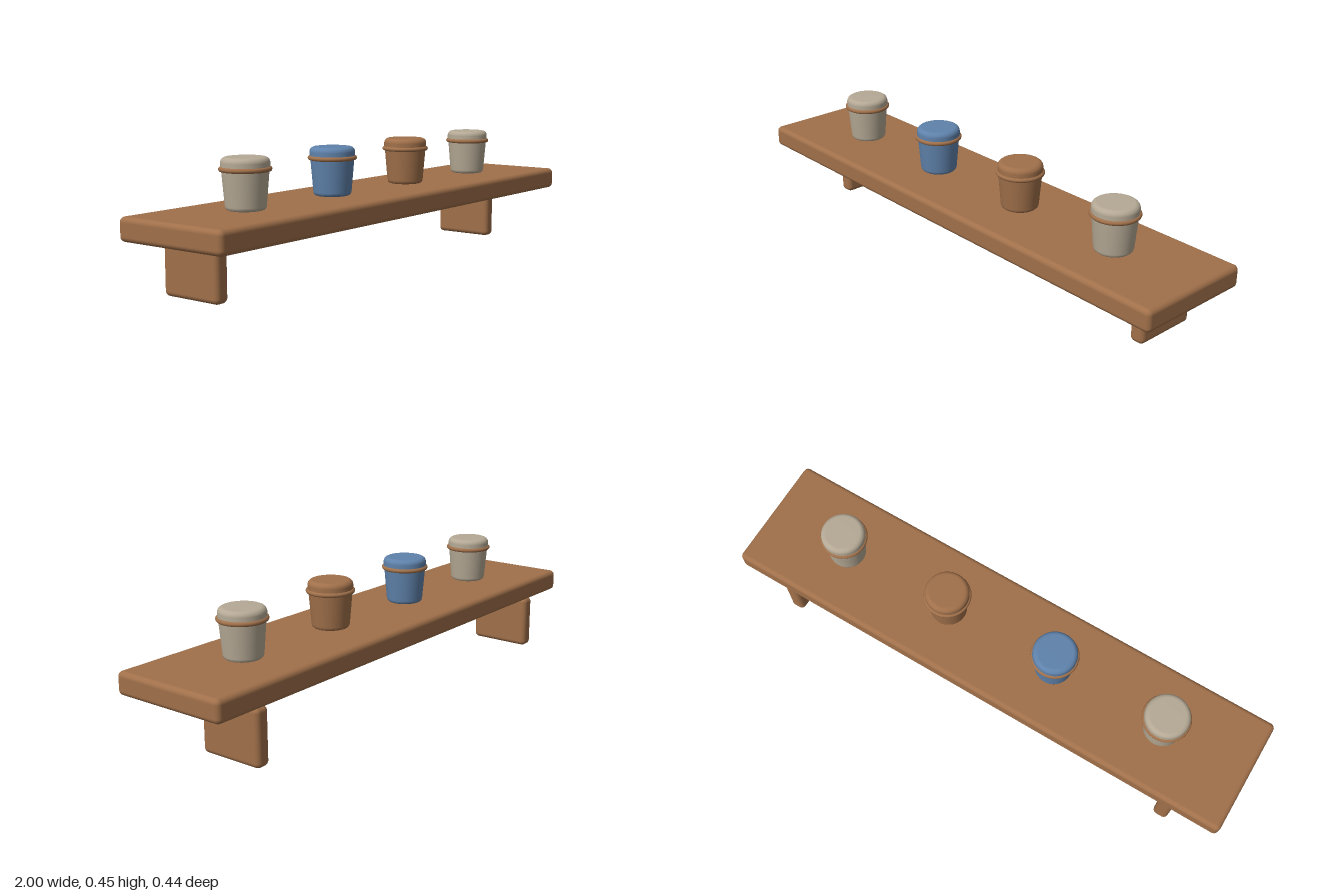
import * as THREE from 'three';
import { RoundedBoxGeometry } from 'three/addons/geometries/RoundedBoxGeometry.js';

const material = (name, color) => {
  const m = new THREE.MeshStandardMaterial({ color });
  m.name = name;
  return m;
};

const lathe = (points) =>
  new THREE.LatheGeometry(points.map(([r, y]) => new THREE.Vector2(r, y)), 40);

export function createModel() {
  const wood = material('wood', 0xa0704a);
  const stone = material('stone', 0xb5a995);
  const blue = material('blue glaze', 0x5f82ab);

  const root = new THREE.Group();
  root.name = 'shelfWithJars';
  const add = (parent, name, geometry, mat, x = 0, y = 0, z = 0) => {
    const mesh = new THREE.Mesh(geometry, mat);
    mesh.name = name;
    mesh.position.set(x, y, z);
    parent.add(mesh);
    return mesh;
  };

  // Plank and its two supports, set towards the back
  add(root, 'plank', new RoundedBoxGeometry(2, 0.08, 0.44, 4, 0.018), wood, 0, 0.24, 0);
  const bracket = new RoundedBoxGeometry(0.056, 0.2, 0.24, 4, 0.018);
  add(root, 'rightBracket', bracket, wood, -0.8, 0.1, -0.09);
  add(root, 'leftBracket', bracket, wood, 0.8, 0.1, -0.09);

  // Tapered jar body with a softened foot
  const body = lathe([
    [0, 0], [0.055, 0], [0.061, 0.002], [0.065, 0.006], [0.067, 0.013],
    [0.0765, 0.125], [0.0765, 0.133], [0, 0.133],
  ]);
  // Lid with a rounded shoulder
  const lidProfile = [[0, 0.13], [0.0795, 0.13], [0.0795, 0.132]];
  for (let i = 0; i <= 6; i++) {
    const a = (i / 6) * Math.PI / 2;
    lidProfile.push([0.0615 + 0.018 * Math.cos(a), 0.153 + 0.018 * Math.sin(a)]);
  }
  lidProfile.push([0, 0.171]);
  const lid = lathe(lidProfile);
  // Band around the neck
  const band = new THREE.TorusGeometry(0.078, 0.008, 12, 40).rotateX(Math.PI / 2);

  [stone, blue, wood, stone].forEach((mat, i) => {
    const jar = new THREE.Group();
    jar.name = `jar${i + 1}`;
    jar.position.set(-0.66 + i * 0.44, 0.28, 0);
    add(jar, 'jarBody', body, mat);
    add(jar, 'jarLid', lid, mat);
    add(jar, 'jarBand', band, wood, 0, 0.132, 0);
    root.add(jar);
  });

  return root;
}
